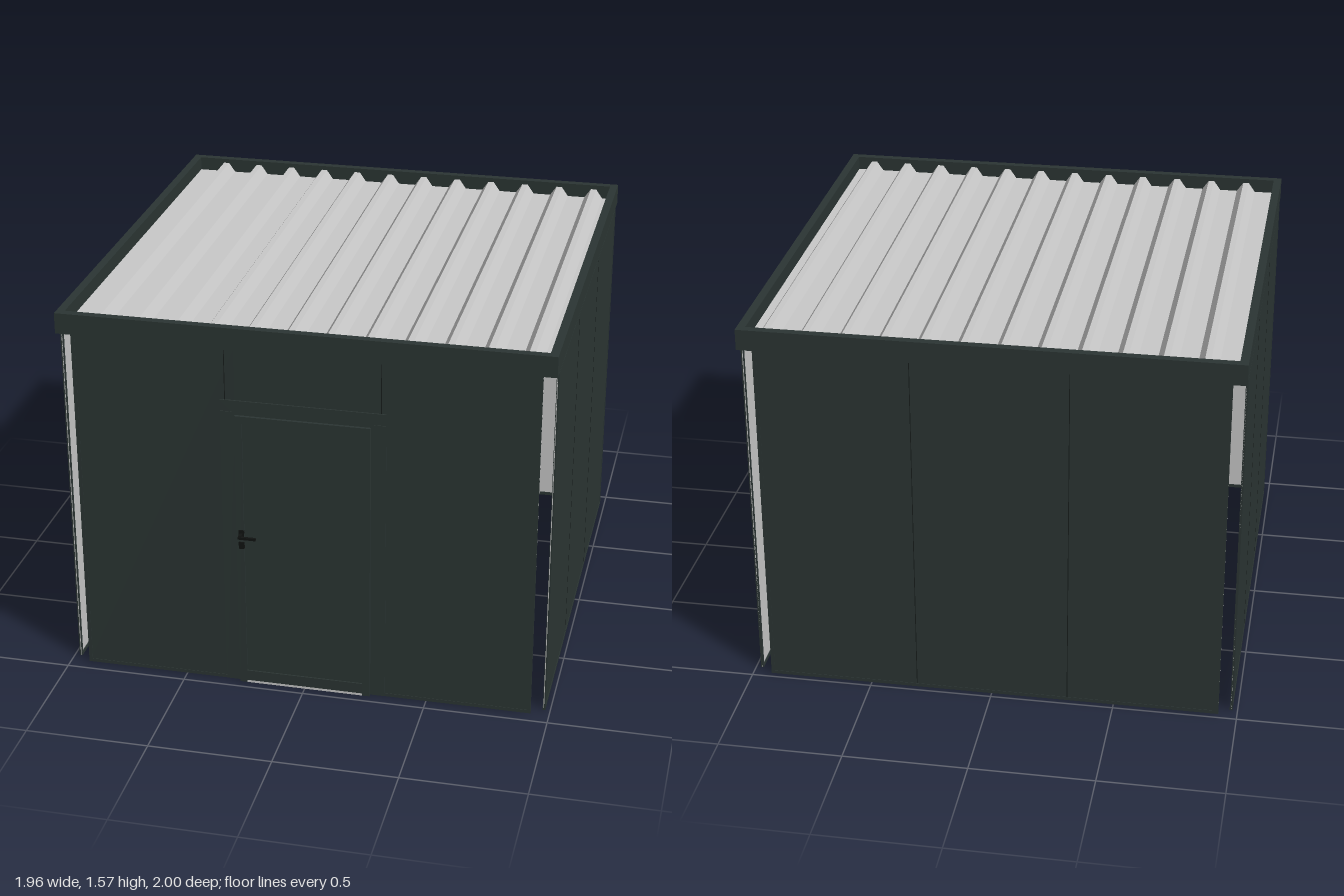
import * as THREE from 'three';

const mat = (name, color, side = THREE.FrontSide) => {
  const m = new THREE.MeshStandardMaterial({ color, side });
  m.name = name;
  return m;
};

export function createModel() {
  const dark = mat('anthracite steel', 0x2b3533);
  const light = mat('pale grey steel', 0xc8c8c8);
  const roofMat = mat('roof sheet grey', 0xc8c8c8, THREE.DoubleSide);
  const seamMat = mat('joint shadow', 0x171c1b);
  const black = mat('black hardware', 0x101211);
  const root = new THREE.Group();

  // Box given by its minimum and maximum corners
  const box = (parent, name, material, x0, x1, y0, y1, z0, z1) => {
    const m = new THREE.Mesh(new THREE.BoxGeometry(x1 - x0, y1 - y0, z1 - z0), material);
    m.name = name;
    m.position.set((x0 + x1) / 2, (y0 + y1) / 2, (z0 + z1) / 2);
    parent.add(m);
    return m;
  };
  const group = (name, parent = root) => {
    const g = new THREE.Group();
    g.name = name;
    parent.add(g);
    return g;
  };

  // Thin walls, dark outside and pale inside; local +z faces outward
  const H = 1.48, W = 0.925;
  const wall = (name, x, z, turn, panels, hasDoor) => {
    const g = group(name);
    g.position.set(x, 0, z);
    g.rotation.y = turn;
    for (const [x0, x1, y0, y1] of panels) {
      box(g, 'outerSheet', dark, x0, x1, y0, y1, -0.003, 0);
      box(g, 'innerSheet', light, x0, x1, y0, y1, -0.006, -0.003);
    }
    for (const s of [-1, 1]) {
      box(g, 'panelSeam', seamMat, s * 0.31 - 0.0015, s * 0.31 + 0.0015, hasDoor ? 1.26 : 0.01, H - 0.01, -0.002, 0.0008);
      const a = s * W, b = s * (W - 0.015);
      box(g, 'edgeTrim', dark, Math.min(a, b), Math.max(a, b), 0.01, H, -0.008, 0.002);
    }
    const spans = hasDoor ? [[-W, -0.27], [0.27, W]] : [[-W, W]];
    for (const [a, b] of spans) box(g, 'bottomTrim', dark, a, b, 0, 0.014, -0.01, 0.002);
    box(g, 'topTrim', dark, -W, W, H - 0.012, H, -0.01, 0.002);
    return g;
  };
  const thirds = [[-W, -0.31, 0, H], [-0.31, 0.31, 0, H], [0.31, W, 0, H]];
  wall('leftWall', 0.978, -0.015, Math.PI / 2, thirds);
  wall('rightWall', -0.978, -0.015, -Math.PI / 2, thirds);
  wall('backWall', 0, -0.973, Math.PI, thirds);
  const zf = 0.945;
  wall('frontWall', 0, zf, 0, [[-W, -0.27, 0, H], [0.27, W, 0, H], [-0.27, 0.27, 1.2, H]], true);

  // Door surround: flat side covers and a mitred head
  const door = group('door');
  for (const s of [-1, 1]) {
    box(door, 'surroundSide', dark, s * 0.3 - 0.03, s * 0.3 + 0.03, 0, 1.21, zf, zf + 0.003);
    box(door, 'frameSide', dark, s * 0.255 - 0.015, s * 0.255 + 0.015, 0, 1.2, zf - 0.01, zf + 0.018);
  }
  const head = new THREE.Shape([[-0.27, 1.2], [0.27, 1.2], [0.33, 1.26], [-0.33, 1.26]]
    .map(p => new THREE.Vector2(...p)));
  const headMesh = new THREE.Mesh(
    new THREE.ExtrudeGeometry(head, { depth: 0.006, bevelEnabled: false }), dark);
  headMesh.name = 'surroundHead';
  headMesh.position.z = zf;
  door.add(headMesh);
  box(door, 'frameHead', dark, -0.27, 0.27, 1.17, 1.2, zf - 0.01, zf + 0.018);
  box(door, 'frameBottom', dark, -0.24, 0.24, 0.01, 0.055, zf - 0.01, zf + 0.018);
  box(door, 'threshold', light, -0.24, 0.24, 0, 0.01, zf - 0.01, zf + 0.018);

  // Door leaf, hinges and lever handle
  box(door, 'leafOutside', dark, -0.24, 0.24, 0.055, 1.17, zf + 0.003, zf + 0.012);
  box(door, 'leafInside', light, -0.24, 0.24, 0.055, 1.17, zf - 0.005, zf + 0.003);
  for (const y of [0.19, 0.61, 0.94, 1.085])
    box(door, 'hinge', black, 0.24, 0.258, y - 0.02, y + 0.02, 0.922, zf - 0.005);
  for (const [z0, z1, g0, g1] of [[0.957, 0.99, 0.99, 1], [0.918, 0.94, 0.91, 0.918]]) {
    box(door, 'handleSpindle', black, -0.257, -0.245, 0.678, 0.69, z0, z1);
    box(door, 'handleLever', black, -0.257, -0.185, 0.679, 0.689, g0, g1);
  }
  for (const [y0, y1] of [[0.665, 0.703], [0.62, 0.65]])
    for (const z of [0.935, 0.957])
      box(door, 'lockPlate', black, -0.262, -0.24, y0, y1, z, z + 0.01);

  // Fascia ring around the roof
  const ring = new THREE.Shape([[-0.98, -0.965], [0.98, -0.965], [0.98, 1], [-0.98, 1]]
    .map(p => new THREE.Vector2(...p)));
  ring.holes.push(new THREE.Path([[-0.947, -0.932], [-0.947, 0.967], [0.947, 0.967], [0.947, -0.932]]
    .map(p => new THREE.Vector2(...p))));
  const fascia = new THREE.Mesh(
    new THREE.ExtrudeGeometry(ring, { depth: 0.085, bevelEnabled: false }), dark);
  fascia.name = 'roofFascia';
  fascia.rotation.x = -Math.PI / 2;
  fascia.position.y = 1.483;
  root.add(fascia);

  // Trapezoidal roof sheet: one rib every pitch, extruded front to back
  const upper = [[-0.95, 1.51]];
  const pitch = 0.1545;
  for (let i = 0; i < 12; i++) {
    const c = -0.825 + i * pitch;
    upper.push([c - 0.04, 1.51], [c - 0.012, 1.55], [c + 0.012, 1.55], [c + 0.04, 1.51]);
  }
  upper.push([0.95, 1.51]);
  const lower = upper.map(([x, y]) => [x, y - 0.004]).reverse();
  const profile = new THREE.Shape([...upper, ...lower].map(p => new THREE.Vector2(...p)));
  const roof = new THREE.Mesh(
    new THREE.ExtrudeGeometry(profile, { depth: 1.9, bevelEnabled: false }), roofMat);
  roof.name = 'corrugatedRoof';
  roof.position.z = -0.967;
  root.add(roof);

  return root;
}
